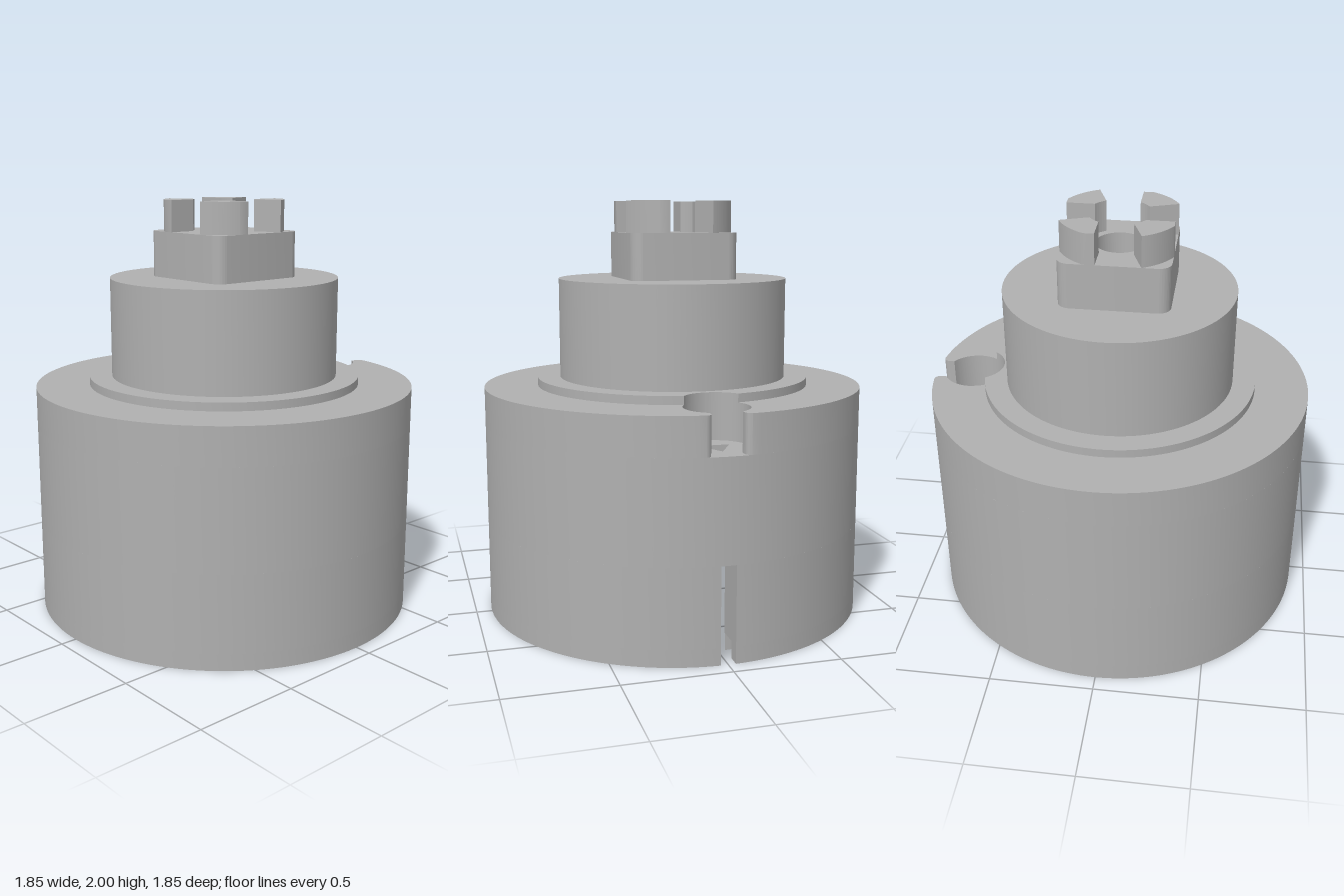
import * as THREE from 'three';
import { toCreasedNormals } from 'three/addons/utils/BufferGeometryUtils.js';

const BACK = Math.PI / 2; // the back (-z) is +y in the drawn shapes
const R = 0.925;          // body radius
const BORE = 0.745;       // lower bore radius
const KEY_Z = 0.735;      // keyhole centre distance
const KEY_R = 0.15;

const circlePath = (r) => new THREE.Path().absarc(0, 0, r, 0, Math.PI * 2, false);

function disc(r, holeRadius) {
  const s = new THREE.Shape().absarc(0, 0, r, 0, Math.PI * 2, false);
  s.holes.push(circlePath(holeRadius));
  return s;
}

// Ring split by the rear slot, optionally with the arc channel beside it
function slottedRing(withChannel) {
  const half = 0.035, span = 0.58;
  const inset = (r) => Math.asin(half / r);
  const s = new THREE.Shape();
  s.absarc(0, 0, R, BACK + inset(R), BACK + Math.PI * 2 - inset(R), false);
  if (withChannel) {
    s.absarc(0, 0, 0.86, BACK - inset(0.86), BACK - span, true);
    s.absarc(0, 0, 0.77, BACK - span, BACK - inset(0.77), false);
  } else s.lineTo(half, 0.76);
  const flare = Math.asin(0.05 / BORE);
  s.absarc(0, 0, BORE, BACK - flare, BACK - Math.PI * 2 + flare, true);
  if (withChannel) {
    s.absarc(0, 0, 0.77, BACK + inset(0.77), BACK + span, false);
    s.absarc(0, 0, 0.86, BACK + span, BACK + inset(0.86), true);
  } else s.lineTo(-half, 0.76);
  s.closePath();
  return s;
}

// Body top layer with the open keyhole pocket
function keyholeDisc() {
  const w = Math.asin(0.1 / R);
  const s = new THREE.Shape();
  s.absarc(0, 0, R, BACK + w, BACK + Math.PI * 2 - w, false);
  s.quadraticCurveTo(0.075, 0.915, 0.075, 0.885);
  s.absarc(0, KEY_Z, KEY_R, Math.PI / 3, Math.PI * 2 / 3, true);
  s.lineTo(-0.075, 0.885);
  s.quadraticCurveTo(-0.075, 0.915, -0.1, Math.cos(w) * R);
  s.holes.push(circlePath(0.5));
  return s;
}

// Thin collar, bitten by the keyhole circle
function bittenCollar() {
  const r = 0.665;
  const y = (r * r + KEY_Z * KEY_Z - KEY_R * KEY_R) / (2 * KEY_Z);
  const x = Math.sqrt(r * r - y * y);
  const d = Math.atan2(x, y), a = Math.atan2(y - KEY_Z, x);
  const s = new THREE.Shape();
  s.absarc(0, 0, r, BACK + d, BACK + Math.PI * 2 - d, false);
  s.absarc(0, KEY_Z, KEY_R, a, Math.PI - a, true);
  s.holes.push(circlePath(0.5));
  return s;
}

function roundedSquare(h, r, holeRadius) {
  const s = new THREE.Shape(), c = h - r;
  [[c, c], [-c, c], [-c, -c], [c, -c]].forEach(([x, y], i) =>
    s.absarc(x, y, r, i * Math.PI / 2, (i + 1) * Math.PI / 2, false));
  s.closePath();
  s.holes.push(circlePath(holeRadius));
  return s;
}

// One corner claw: square cut by an outer arc, an inner arc and the cross slots
function clawShape() {
  const h = 0.26, g = 0.08, outer = 0.29, inner = 0.15;
  const o = Math.acos(h / outer), n = Math.asin(g / inner);
  const s = new THREE.Shape();
  s.moveTo(h, g);
  s.absarc(0, 0, outer, o, Math.PI / 2 - o, false);
  s.lineTo(g, h);
  s.absarc(0, 0, inner, Math.PI / 2 - n, n, true);
  s.closePath();
  return s;
}

export function createModel() {
  const model = new THREE.Group();
  const grey = new THREE.MeshStandardMaterial({ color: 0xb0b0b0, side: THREE.DoubleSide });
  grey.name = 'grey';

  const add = (name, geometry) => {
    const mesh = new THREE.Mesh(toCreasedNormals(geometry, 0.5), grey);
    mesh.name = name;
    model.add(mesh);
    return mesh;
  };
  // Extrude a plan shape between two heights
  const layer = (name, shape, y0, y1) => {
    const g = new THREE.ExtrudeGeometry(shape, { depth: y1 - y0, bevelEnabled: false, curveSegments: 72 });
    g.rotateX(-Math.PI / 2).translate(0, y0, 0);
    return add(name, g);
  };

  // Body, from the bottom up
  layer('channelledRim', slottedRing(true), 0, 0.08);
  layer('slottedWall', slottedRing(false), 0.08, 0.45);
  const core = disc(R, 0.5);
  core.holes.push(new THREE.Path([
    new THREE.Vector2(0, 0.82), new THREE.Vector2(-0.075, 0.69), new THREE.Vector2(0.075, 0.69),
  ]));
  layer('bodyCore', core, 0.45, 0.93);
  layer('keyholeLayer', keyholeDisc(), 0.93, 1.11);
  layer('collar', bittenCollar(), 1.11, 1.15);

  // Bore details: seat cone with a gap at the slot, and the inner sleeve
  const v = (x, y) => new THREE.Vector2(x, y);
  add('boreCone', new THREE.LatheGeometry([v(BORE, 0.37), v(0.67, 0.45)], 72,
    Math.PI + 0.11, Math.PI * 2 - 0.22));
  add('innerSleeve', new THREE.LatheGeometry([v(0.5, 0.58), v(0.38, 0.68), v(0.38, 1.11)], 72));

  // Neck, square drive and its four claws
  layer('neck', disc(0.555, 0.115), 1.11, 1.63);
  layer('squareDrive', roundedSquare(0.26, 0.06, 0.115), 1.63, 1.85);
  for (let i = 0; i < 4; i++) {
    layer('claw', clawShape(), 1.85, 2).rotation.y = i * Math.PI / 2;
  }
  return model;
}
